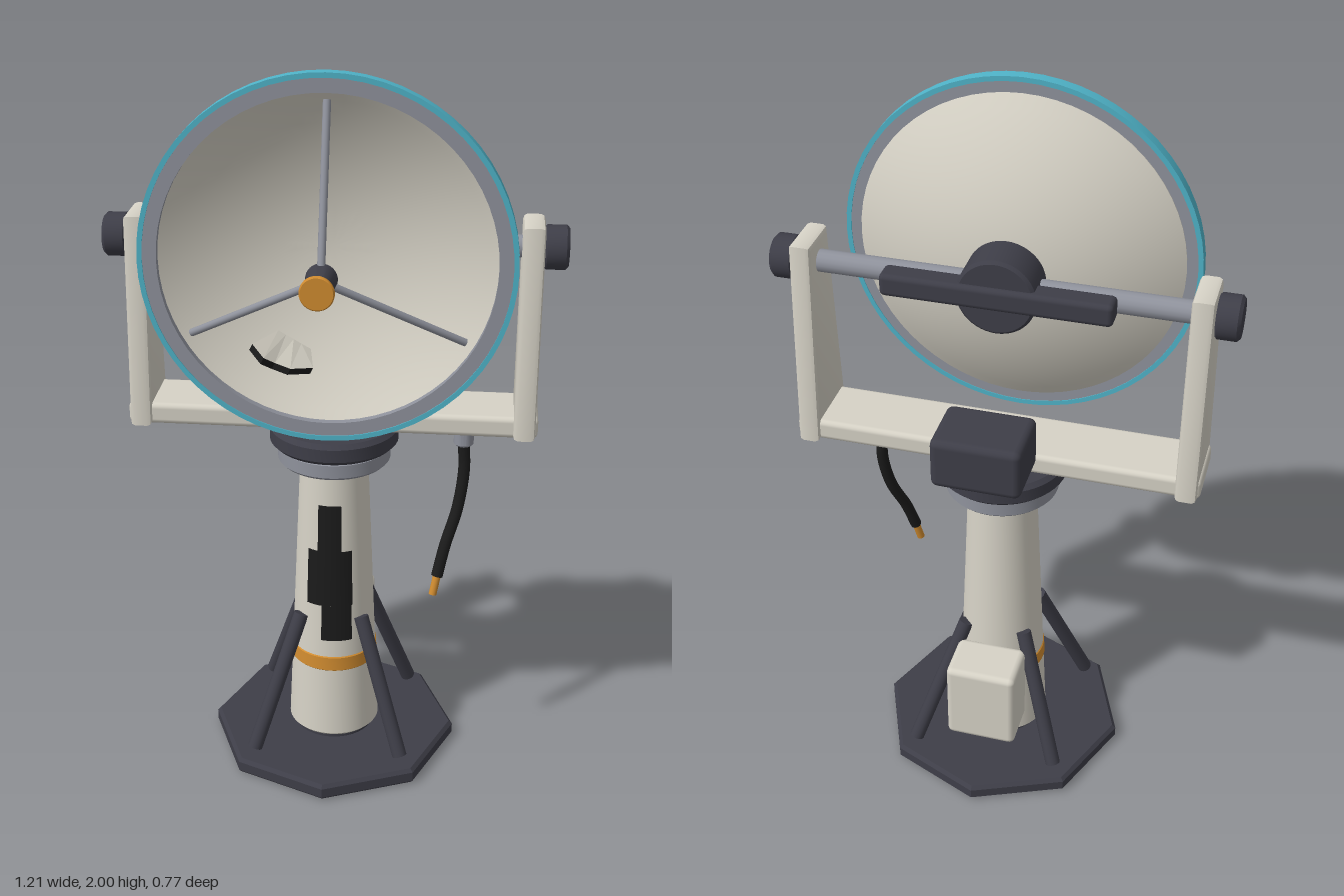
import * as THREE from 'three';
import { toCreasedNormals } from 'three/addons/utils/BufferGeometryUtils.js';
import { RoundedBoxGeometry } from 'three/addons/geometries/RoundedBoxGeometry.js';

const mat = (name, color, side = THREE.FrontSide) => {
  const m = new THREE.MeshStandardMaterial({ color, side });
  m.name = name;
  return m;
};

export function createModel() {
  const cream = mat('cream paint', 0xd6d2c6);
  const dark = mat('dark slate', 0x3e3e48);
  const metal = mat('grey metal', 0x8f929c);
  const teal = mat('teal trim', 0x4fb3c8);
  const orange = mat('orange accent', 0xd18c30);
  const black = mat('black', 0x1b1b1b, THREE.DoubleSide);

  const model = new THREE.Group();
  model.name = 'dishAntenna';
  const AXIS_Y = 1.525, AXIS_Z = -0.035;

  const add = (name, geo, material, x = 0, y = 0, z = 0, parent = model) => {
    const mesh = new THREE.Mesh(geo, material);
    mesh.name = name;
    mesh.position.set(x, y, z);
    parent.add(mesh);
    return mesh;
  };
  const lathe = (points, segs = 48) =>
    toCreasedNormals(new THREE.LatheGeometry(points.map(p => new THREE.Vector2(...p)), segs), 0.5);
  // Bevelled disc or tapered drum from y0 to y1
  const drum = (r0, r1, y0, y1, b, segs = 48) =>
    lathe([[0, y0], [r0 - b, y0], [r0, y0 + b], [r1, y1 - b], [r1 - b, y1], [0, y1]], segs);
  const box = (w, h, d, r) => new RoundedBoxGeometry(w, h, d, 2, r);
  const rod = (name, a, b, r, material, parent = model) => {
    const p = new THREE.Vector3(...a), q = new THREE.Vector3(...b), d = q.clone().sub(p);
    const mesh = add(name, new THREE.CylinderGeometry(r, r, d.length(), 16), material, 0, 0, 0, parent);
    mesh.position.copy(p).add(q).multiplyScalar(0.5);
    mesh.quaternion.setFromUnitVectors(new THREE.Vector3(0, 1, 0), d.normalize());
    return mesh;
  };

  // Pedestal
  const pedestal = new THREE.Group();
  pedestal.name = 'pedestal';
  pedestal.position.z = AXIS_Z;
  model.add(pedestal);
  const columnR = y => 0.13 - (y - 0.06) * 0.042;
  add('basePlate', drum(0.352, 0.352, 0, 0.048, 0.01, 8), dark, 0, 0, 0, pedestal);
  add('columnFoot', new THREE.CylinderGeometry(0.115, 0.115, 0.04, 32), dark, 0, 0.055, 0, pedestal);
  add('column', drum(columnR(0.06), columnR(0.89), 0.06, 0.89, 0.01), cream, 0, 0, 0, pedestal);
  add('columnNeck', new THREE.CylinderGeometry(0.085, 0.085, 0.04, 32), dark, 0, 0.895, 0, pedestal);
  add('columnBand', drum(0.124, 0.122, 0.28, 0.325, 0.003), orange, 0, 0, 0, pedestal);
  add('bearingRing', drum(0.155, 0.155, 0.902, 0.955, 0.008), metal, 0, 0, 0, pedestal);
  add('turntable', drum(0.177, 0.177, 0.955, 1.015, 0.012), dark, 0, 0, 0, pedestal);
  for (const sx of [-1, 1]) for (const sz of [-1, 1])
    rod('brace', [sx * 0.208, 0.065, sz * 0.208], [sx * 0.085, 0.445, sz * 0.085], 0.021, dark, pedestal);
  add('controlBox', box(0.2, 0.25, 0.145, 0.018), cream, 0, 0.275, -0.178, pedestal);

  // Stepped dark patch wrapped around the front of the column
  for (const [x0, x1, y0, y1] of [[-0.035, 0.03, 0.66, 0.8], [-0.065, 0.06, 0.49, 0.66], [-0.025, 0.06, 0.38, 0.49]]) {
    const r0 = columnR(y0) + 0.005, r1 = columnR(y1) + 0.005, rm = (r0 + r1) / 2;
    const t0 = Math.asin(x0 / rm), t1 = Math.asin(x1 / rm);
    add('columnPatch', new THREE.CylinderGeometry(r1, r0, y1 - y0, 10, 1, true, t0, t1 - t0),
      black, 0, (y0 + y1) / 2, 0, pedestal);
  }

  // Yoke
  add('yokeBeam', box(1.1, 0.06, 0.185, 0.015), cream, 0, 1.05, AXIS_Z);
  const armShape = new THREE.Shape([[-0.095, 0], [0.095, 0], [0.057, 0.55], [-0.057, 0.55]]
    .map(p => new THREE.Vector2(...p)));
  const armGeo = toCreasedNormals(new THREE.ExtrudeGeometry(armShape, {
    depth: 0.034, bevelEnabled: true, bevelSize: 0.011, bevelThickness: 0.012, bevelSegments: 2,
  }).translate(0, 0, -0.017).rotateY(Math.PI / 2), 0.5);
  for (const s of [-1, 1]) {
    add('yokeArm', armGeo, cream, s * 0.514, 1.031, AXIS_Z);
    const cap = add('pivotCap', drum(0.058, 0.058, 0, 0.065, 0.008, 32), dark, s * 0.54, AXIS_Y, AXIS_Z);
    cap.rotation.z = -s * Math.PI / 2;
  }
  rod('axle', [-0.53, AXIS_Y, AXIS_Z], [0.53, AXIS_Y, AXIS_Z], 0.03, metal);
  add('driveMotor', box(0.24, 0.145, 0.18, 0.02), dark, 0, 1.137, -0.217);

  // Dish, turned about its own axis which points forward
  const dish = new THREE.Group();
  dish.name = 'dish';
  dish.position.y = AXIS_Y;
  model.add(dish);
  const bowl = (r, z) => [r, z + 0.14 * (r / 0.43) ** 2];
  const steps = [...Array(15).keys()].map(i => i * 0.435 / 14);
  const ring = (r0, r1, z0, z1) => lathe([[r0, z0], [r1, z0], [r1, z1], [r0, z1], [r0, z0]], 64);
  const turned = (name, geo, material) => add(name, geo.rotateX(Math.PI / 2), material, 0, 0, 0, dish);
  turned('reflector', lathe([...steps.map(r => bowl(r, 0)), ...steps.reverse().map(r => bowl(r, 0.014))], 64), cream);
  turned('rimRing', ring(0.428, 0.468, 0.146, 0.173), metal);
  turned('rimTrim', ring(0.464, 0.477, 0.144, 0.176), teal);
  turned('hub', drum(0.104, 0.104, -0.105, 0.012, 0.008), dark);
  turned('feedHorn', drum(0.04, 0.026, 0.272, 0.376, 0.004, 32), dark);
  turned('feedCap', drum(0.043, 0.043, 0.374, 0.388, 0.003, 32), orange);
  add('crossbar', box(0.6, 0.062, 0.066, 0.014), dark, 0, 0, -0.086, dish);
  for (const deg of [90, -30, 210]) {
    const c = Math.cos(deg * Math.PI / 180), s = Math.sin(deg * Math.PI / 180);
    rod('feedStrut', [c * 0.405, s * 0.405, 0.142], [c * 0.02, s * 0.02, 0.286], 0.01, metal, dish);
  }

  // Torn flap of the reflector: root edge to jagged front edge
  const root = [[-0.14, 1.302, 0.07], [-0.12, 1.29, 0.07], [-0.1, 1.279, 0.07], [-0.08, 1.267, 0.07], [-0.055, 1.253, 0.07]];
  const torn = [[-0.185, 1.322, 0.225], [-0.15, 1.304, 0.272], [-0.125, 1.283, 0.25], [-0.085, 1.272, 0.258], [-0.035, 1.251, 0.195]];
  const shift = (line, d) => line.map(([x, y, z]) => [x + d * 0.45, y + d * 0.9, z]);
  const strip = (a, b) => {
    const pos = [];
    for (let i = 0; i < a.length - 1; i++)
      pos.push(...a[i], ...b[i], ...b[i + 1], ...a[i], ...b[i + 1], ...a[i + 1]);
    const g = new THREE.BufferGeometry();
    g.setAttribute('position', new THREE.Float32BufferAttribute(pos, 3));
    g.computeVertexNormals();
    return g;
  };
  const T = 0.009;
  add('flapTop', strip(shift(root, T), shift(torn, T)), cream);
  add('flapUnderside', strip(shift(torn, -T), shift(root, -T)), cream);
  add('flapTornEdge', strip(shift(torn, T), shift(torn, -T)), black);
  for (const i of [0, 4]) {
    const a = [root[i], torn[i]];
    add('flapSide', strip(shift(a, T), shift(a, -T)), black);
  }

  // Hanging cable
  add('cableSocket', drum(0.027, 0.027, 0.972, 1.025, 0.006, 24), metal, 0.355, 0, 0);
  const path = [[0.355, 0.98, 0], [0.359, 0.9, 0], [0.345, 0.79, 0.02], [0.315, 0.69, 0.055], [0.296, 0.605, 0.078]]
    .map(p => new THREE.Vector3(...p));
  add('cable', new THREE.TubeGeometry(new THREE.CatmullRomCurve3(path), 32, 0.016, 12), black);
  rod('cableTip', [0.297, 0.61, 0.077], [0.286, 0.552, 0.088], 0.011, orange);

  return model;
}
